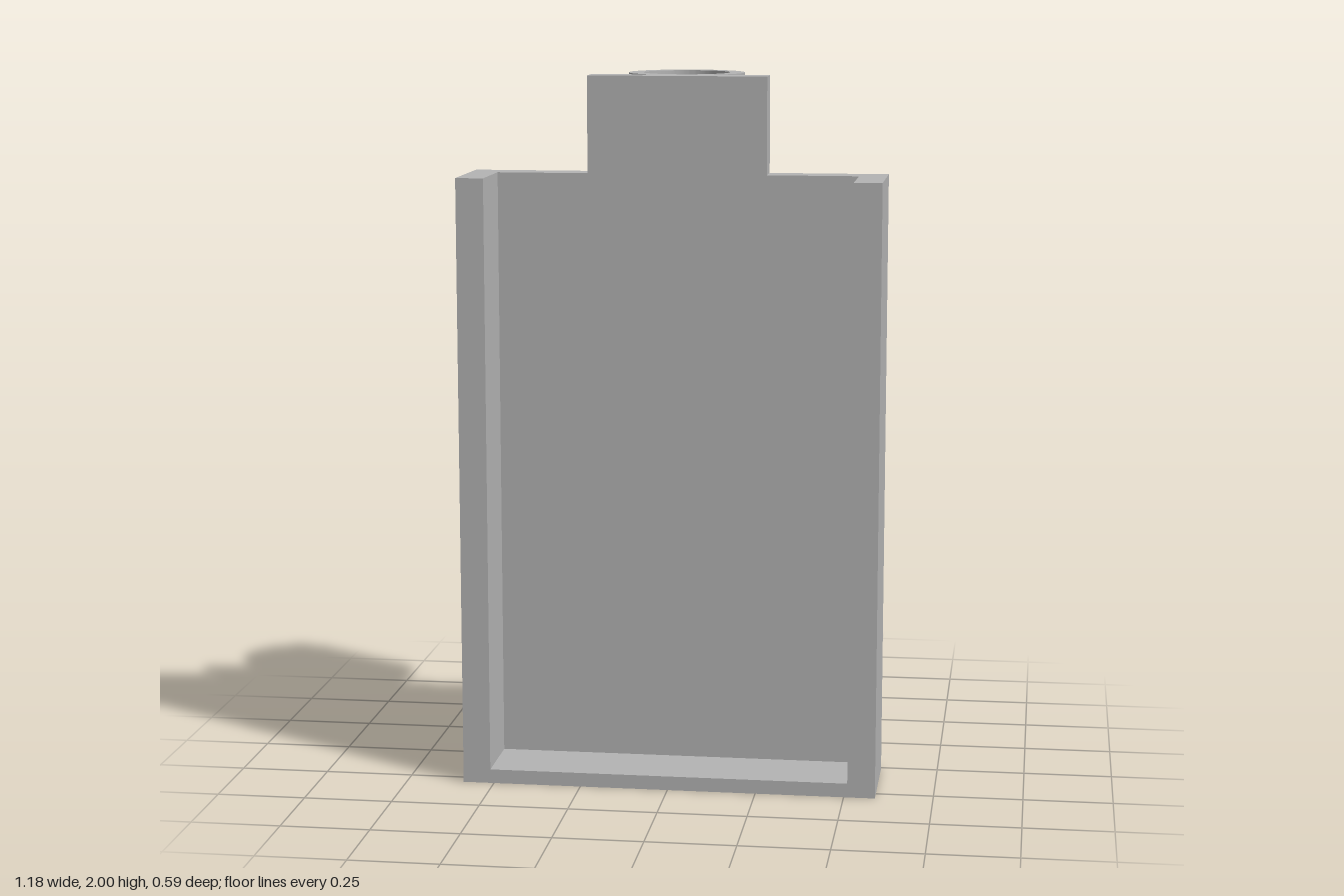
import * as THREE from 'three';
import { toCreasedNormals } from 'three/addons/utils/BufferGeometryUtils.js';

const WIDTH = 0.588, INNER = 0.51, TAB = 0.253;   // half widths
const FLOOR = 0.04, SHOULDER = 1.727, TOP = 2;    // heights
const BACK = 0.01, PANEL = 0.09, FRONT = 0.294;   // depths

const outline = (points) => new THREE.Shape(points.map(([x, y]) => new THREE.Vector2(x, y)));

function extrude(shape, depth) {
  return new THREE.ExtrudeGeometry(shape, { depth, bevelEnabled: false, curveSegments: 64 });
}

export function createModel() {
  const group = new THREE.Group();
  group.name = 'trayHolder';
  const grey = new THREE.MeshStandardMaterial({ color: 0xb4b4b4 });
  grey.name = 'grey';

  const add = (name, geometry) => {
    const mesh = new THREE.Mesh(geometry, grey);
    mesh.name = name;
    group.add(mesh);
    return mesh;
  };

  // Back panel with the raised tab
  const panel = outline([
    [-WIDTH, 0], [WIDTH, 0], [WIDTH, SHOULDER], [TAB, SHOULDER],
    [TAB, TOP], [-TAB, TOP], [-TAB, SHOULDER], [-WIDTH, SHOULDER],
  ]);
  add('backPanel', extrude(panel, PANEL - BACK)).position.z = BACK;

  // U-shaped rim, open at the top
  const rim = outline([
    [-WIDTH, 0], [WIDTH, 0], [WIDTH, SHOULDER], [INNER, SHOULDER],
    [INNER, FLOOR], [-INNER, FLOOR], [-INNER, SHOULDER], [-WIDTH, SHOULDER],
  ]);
  add('rim', extrude(rim, FRONT - PANEL)).position.z = PANEL;

  // Upright mounting tube, cut flat where it meets the panel
  const radius = 0.166, bore = 0.123, centreZ = -0.129, bottom = 1.61;
  const cut = Math.acos((BACK - centreZ) / radius);
  const ring = new THREE.Shape();
  ring.absarc(0, 0, radius, -Math.PI / 2 + cut, Math.PI * 1.5 - cut, false);
  ring.holes.push(new THREE.Path().absarc(0, 0, bore, 0, Math.PI * 2, true));
  const tubeGeometry = extrude(ring, TOP - bottom).rotateX(-Math.PI / 2);
  add('mountingTube', toCreasedNormals(tubeGeometry, 0.5)).position.set(0, bottom, centreZ);

  return group;
}
